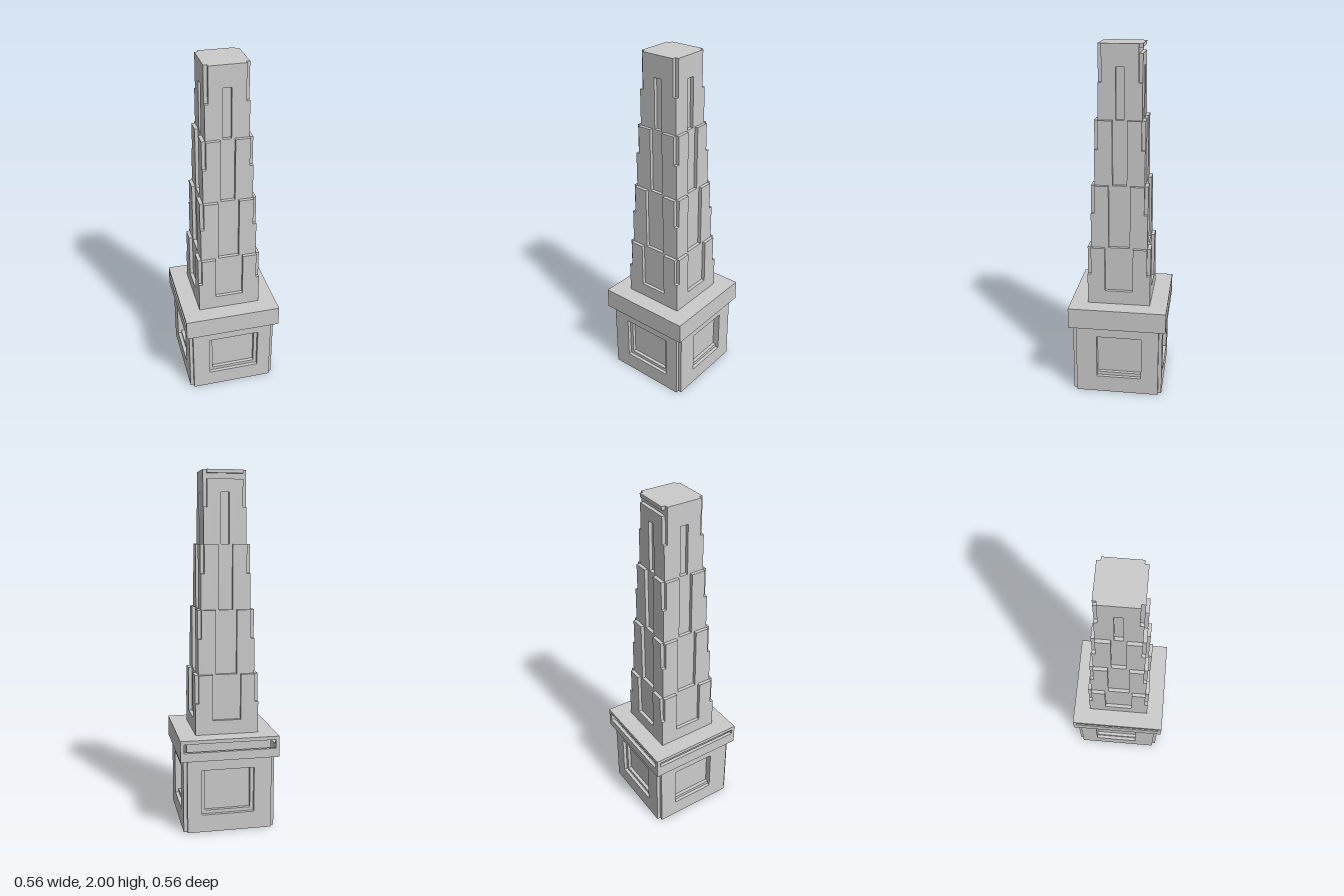
import * as THREE from 'three';

const T = 0.02; // thickness of every cladding layer
const material = new THREE.MeshStandardMaterial({ color: 0xcccccc, flatShading: true });

// Box given by its minimum and maximum along each axis
function block(parent, name, x0, x1, y0, y1, z0, z1) {
  if (x1 - x0 < 1e-4 || y1 - y0 < 1e-4 || z1 - z0 < 1e-4) return;
  const mesh = new THREE.Mesh(new THREE.BoxGeometry(x1 - x0, y1 - y0, z1 - z0), material);
  mesh.position.set((x0 + x1) / 2, (y0 + y1) / 2, (z0 + z1) / 2);
  mesh.name = name;
  parent.add(mesh);
}

// Upright slab of half width w from y0 to y1 around a rectangular opening [x0, x1, y0, y1]
function frame(parent, name, w, y0, y1, hole, z0, z1) {
  const [hx0, hx1, hy0, hy1] = hole;
  block(parent, name + 'Side', -w, hx0, y0, y1, z0, z1);
  block(parent, name + 'Side', hx1, w, y0, y1, z0, z1);
  block(parent, name + 'Sill', hx0, hx1, y0, hy0, z0, z1);
  block(parent, name + 'Lintel', hx0, hx1, hy1, y1, z0, z1);
}

// Group turned to one of the four faces: 0 front, 1 left (+x), 2 back, 3 right (-x)
function face(parent, name, i) {
  const g = new THREE.Group();
  g.name = name;
  g.rotation.y = i * Math.PI / 2;
  parent.add(g);
  return g;
}

// Hollow pedestal, open below, with a stepped window recess in each wall
function pedestal() {
  const g = new THREE.Group();
  g.name = 'pedestal';
  const windows = [[-0.14, 0.16], [-0.12, 0.14], [-0.16, 0.14], [-0.14, 0.12]];
  windows.forEach(([a, b], i) => {
    const wall = face(g, 'pedestalWall', i);
    const step = i % 2 ? 0 : T;
    frame(wall, 'outerFrame', 0.24, 0, 0.42, [a, b, 0.1, 0.36], 0.24, 0.26);
    frame(wall, 'innerFrame', i % 2 ? 0.22 : 0.24, 0, 0.42,
      [a + step, b - step, 0.12, 0.36], 0.22, 0.24);
    block(wall, 'windowPane', a, b, 0.1, 0.38, 0.21, 0.22);
  });
  return g;
}

// Overhanging ledge: closed in front and on the left, slotted behind and on the right
function ledge() {
  const g = new THREE.Group();
  g.name = 'ledge';
  const w = 0.28;
  block(g, 'ledgeTop', -w, w, 0.52, 0.54, -w, w);
  block(g, 'ledgeBottom', -w, w, 0.42, 0.44, -w, w);
  block(g, 'ledgeCore', -0.24, 0.24, 0.44, 0.52, -0.24, 0.24);
  for (let i = 0; i < 4; i++) {
    const side = face(g, 'ledgeSide', i);
    if (i < 2) block(side, 'ledgeFascia', -w + T, w - T, 0.44, 0.52, w - T, w);
    else block(side, 'ledgeFascia', -w + T, w - T, 0.44, i === 2 ? 0.47 : 0.49, w - T, w);
    block(side, 'ledgeCorner', w - T, w, 0.44, 0.52, w - T, w);
  }
  return g;
}

// One tapering stage: core, cladding with a vertical slot, and short corner posts
function stage({ w, y0, y1, post, slot }, isTop) {
  const g = new THREE.Group();
  g.name = 'towerStage';
  const c = w - T;
  block(g, 'stageCore', -c, c, y0, y1, -c, c);
  for (let i = 0; i < 4; i++) {
    const side = face(g, 'stageSide', i);
    const vented = isTop && i === 2;
    frame(side, 'cladding', c, y0, vented ? 1.95 : y1, slot, c, w);
    if (vented) block(side, 'topStrip', -c, c, 1.98, y1, c, w);
    block(side, 'cornerPost', c, w, y0, post, c, w);
  }
  return g;
}

export function createModel() {
  const model = new THREE.Group();
  model.name = 'steppedTower';
  model.add(pedestal(), ledge());
  const stages = [
    { w: 0.18, y0: 0.54, y1: 0.88, post: 0.72, slot: [-0.08, 0.08, 0.62, 0.88] },
    { w: 0.16, y0: 0.88, y1: 1.24, post: 1.08, slot: [-0.06, 0.06, 0.88, 1.24] },
    { w: 0.14, y0: 1.24, y1: 1.6, post: 1.44, slot: [-0.04, 0.04, 1.24, 1.6] },
    { w: 0.12, y0: 1.6, y1: 2, post: 1.8, slot: [-0.023, 0.023, 1.6, 1.88] },
  ];
  stages.forEach((s, i) => model.add(stage(s, i === 3)));
  return model;
}
